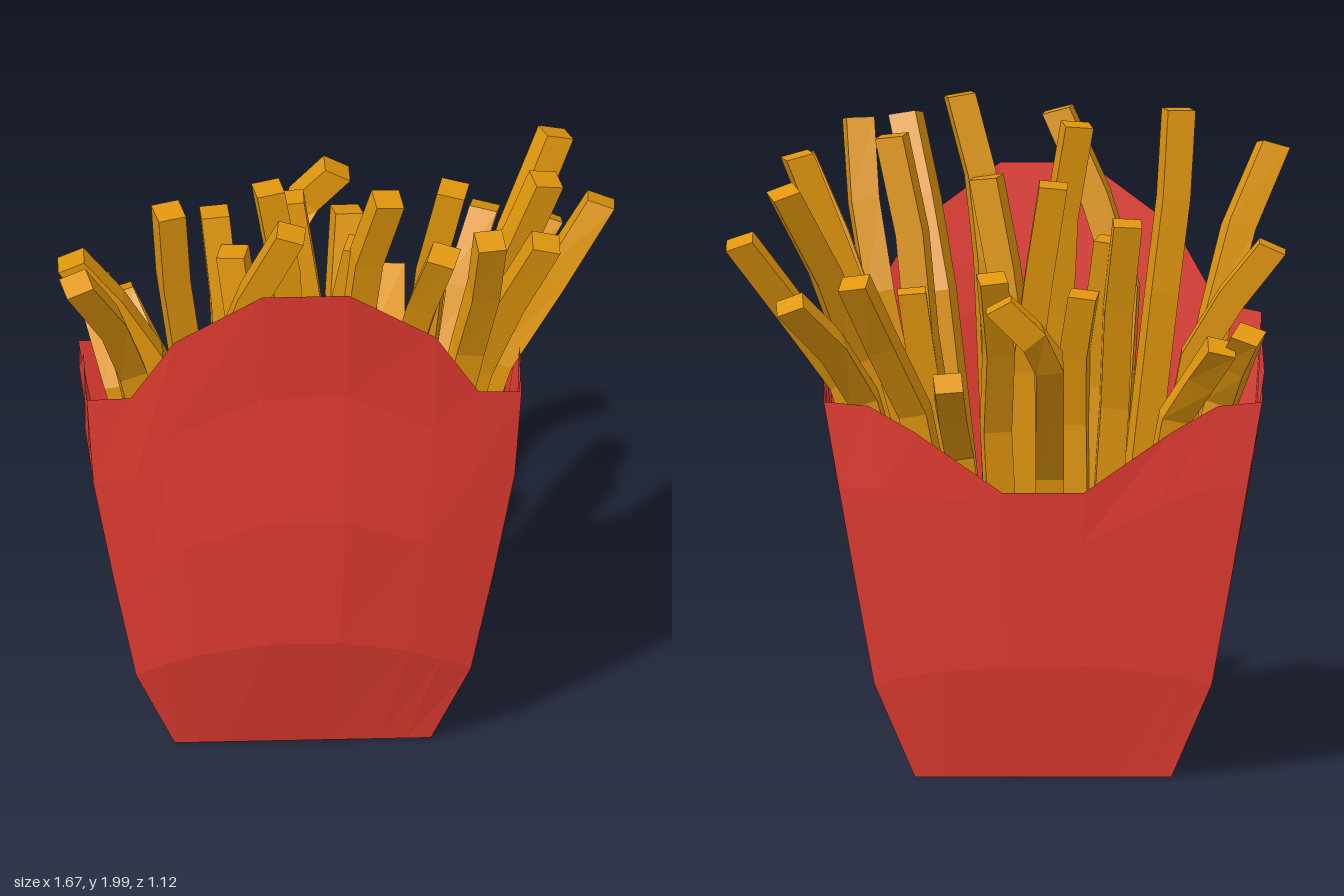
import * as THREE from 'three';

const CX = -0.11; // carton is offset sideways from the origin

// Piecewise-linear lookup in a list of [y, value]
function at(table, y) {
  for (let i = 1; i < table.length; i++) {
    const [y0, v0] = table[i - 1], [y1, v1] = table[i];
    if (y <= y1) return v0 + (v1 - v0) * Math.max(0, (y - y0) / (y1 - y0));
  }
  return table[table.length - 1][1];
}

// Carton outline by height
const halfWidth = [[0, 0.38], [0.3, 0.505], [1.15, 0.65], [1.32, 0.645]];
const frontZ = [[0, 0.27], [0.35, 0.335], [1.32, 0.39], [1.74, 0.42]];
const frontBulge = [[0, 0], [0.43, 0.05], [0.9, 0.075], [1.3, 0.06], [1.74, 0.083]];
const backZ = [[0, -0.08], [0.3, -0.125], [0.95, -0.172], [1.15, -0.17]];
const backBulge = [[0, 0], [0.3, 0.015], [0.9, 0.03]];
const sideBulge = [[0, -0.035], [0.4, 0.005], [0.8, 0.008], [1.15, 0.01], [1.32, 0]];

function buildGeometry(points, index) {
  const g = new THREE.BufferGeometry();
  g.setAttribute('position', new THREE.Float32BufferAttribute(points.flatMap(p => p.toArray()), 3));
  g.setIndex(index);
  g.computeVertexNormals();
  return g;
}

// Columns around the carton: each has its own bottom, crease and rim height
function cartonColumns() {
  const us = [-1, -0.8, -0.6, -0.2, 0.2, 0.6, 0.8, 1];
  const frontRim = [[0.2, 1.745], [0.6, 1.56], [0.8, 1.335], [1, 1.315]];
  const backRim = [[0.2, 0.88], [0.57, 1.05], [0.8, 1.14], [1, 1.15]];
  const front = us.map(u => ({
    bottom: 0, crease: 0.28 + 0.15 * (1 - u * u), top: at(frontRim, Math.abs(u)),
    point: y => new THREE.Vector3(CX + u * at(halfWidth, y), y,
      at(frontZ, y) + at(frontBulge, y) * (1 - u * u))
  }));
  const back = us.map(u => ({
    bottom: 0, crease: 0.29 + 0.06 * (1 - u * u), top: at(backRim, Math.abs(u)),
    point: y => new THREE.Vector3(CX + u * at(halfWidth, y), y,
      at(backZ, y) - at(backBulge, y) * (1 - u * u))
  })).reverse();
  // [fraction front to back, bottom, crease, rim, share of the side bulge]
  const folds = [[0.2, 0, 0.35, 1.318, 0.4], [0.43, 0.045, 0.41, 1.315, 1],
    [0.62, 0.06, 0.38, 1.2, 1], [0.84, 0.015, 0.31, 1.2, 0.4]];
  const side = s => folds.map(([f, bottom, crease, top, share]) => ({
    bottom, crease, top,
    point: y => new THREE.Vector3(
      CX + s * (at(halfWidth, y) + share * at(sideBulge, y)), y,
      THREE.MathUtils.lerp(at(frontZ, y), at(backZ, y), f))
  }));
  return [...front, ...side(1), ...back, ...side(-1).reverse()];
}

function makeCarton(material) {
  const cols = cartonColumns(), n = cols.length;
  const steps = [0, 0.35, 0.7, 1];
  const rows = steps.length + 1;
  const points = [], index = [];
  for (const c of cols) {
    points.push(c.point(c.bottom));
    for (const t of steps) points.push(c.point(THREE.MathUtils.lerp(c.crease, c.top, t)));
  }
  for (let i = 0; i < n; i++) {
    const a = i * rows, b = ((i + 1) % n) * rows;
    for (let r = 0; r < rows - 1; r++) {
      index.push(a + r, b + r, b + r + 1, a + r, b + r + 1, a + r + 1);
    }
  }
  const walls = new THREE.Mesh(buildGeometry(points, index), material);
  walls.name = 'cartonWalls';

  // Arched floor: strips joining the matching columns of both sides
  const left = [7, 8, 9, 10, 11, 12], right = [0, 23, 22, 21, 20, 19];
  const floorPoints = [], floorIndex = [];
  left.forEach((l, i) => {
    floorPoints.push(cols[right[i]].point(cols[right[i]].bottom), cols[l].point(cols[l].bottom));
    if (i > 0) {
      const k = i * 2;
      floorIndex.push(k - 2, k, k + 1, k - 2, k + 1, k - 1);
    }
  });
  const floor = new THREE.Mesh(buildGeometry(floorPoints, floorIndex), material);
  floor.name = 'cartonFloor';

  const carton = new THREE.Group();
  carton.name = 'carton';
  carton.add(walls, floor);
  return carton;
}

// Square bar swept along a bent path, its tip cut closer to level
function fryGeometry(path, size, twist) {
  const points = [], index = [], last = path.length - 1;
  const ref = new THREE.Vector3(Math.sin(twist), 0, Math.cos(twist));
  path.forEach((p, i) => {
    const t = path[Math.min(i + 1, last)].clone().sub(path[Math.max(i - 1, 0)]).normalize();
    if (i === last) t.y += 0.6;
    t.normalize();
    const s = t.clone().cross(ref).normalize();
    const r = s.clone().cross(t);
    for (let k = 0; k < 4; k++) {
      const a = Math.PI / 4 + k * Math.PI / 2, h = size * Math.SQRT1_2;
      points.push(p.clone().addScaledVector(r, Math.cos(a) * h).addScaledVector(s, Math.sin(a) * h));
      if (i < last) {
        const q = i * 4 + k, w = i * 4 + (k + 1) % 4;
        index.push(q, w, w + 4, q, w + 4, q + 4);
      }
    }
  });
  const e = last * 4;
  index.push(e, e + 1, e + 2, e, e + 2, e + 3, 0, 2, 1, 0, 3, 2);
  return buildGeometry(points, index);
}

// Each fry: point near the rim, then tip (x, y, z)
const rightFries = [
  [-0.56, 1.25, 0.05, -0.79, 1.58, 0.04], [-0.62, 1.33, 0.25, -0.79, 1.8, 0.49],
  [-0.64, 1.12, 0.0, -0.72, 1.36, -0.2], [-0.5, 1.08, -0.04, -0.64, 1.32, -0.19],
  [-0.32, 1.1, 0.04, -0.36, 1.67, -0.07], [-0.28, 1.15, 0.1, -0.31, 1.6, 0.04],
  [-0.46, 1.4, 0.25, -0.51, 1.94, 0.32], [-0.35, 1.4, 0.34, -0.15, 1.92, 0.42],
  [-0.2, 1.05, 0.05, -0.23, 1.45, -0.04]
];
const leftFries = [
  [-0.06, 1.2, 0.08, -0.14, 1.77, 0.01], [-0.15, 1.35, 0.2, -0.21, 1.92, 0.18],
  [-0.03, 1.2, 0.2, 0.06, 1.75, 0.24], [0.03, 1.05, -0.06, 0.04, 1.54, -0.26],
  [0.14, 0.98, -0.1, 0.17, 1.25, -0.4], [0.27, 1.1, -0.06, 0.45, 1.53, -0.28],
  [0.44, 1.25, -0.02, 0.66, 1.8, -0.26], [0.42, 1.14, -0.08, 0.64, 1.47, -0.31],
  [0.48, 1.18, 0.01, 0.79, 1.63, -0.15], [0.41, 1.3, 0.07, 0.62, 1.85, 0.06],
  [0.25, 1.3, 0.1, 0.34, 1.89, 0.16], [0.41, 1.3, 0.22, 0.61, 1.8, 0.32],
  [0.38, 1.4, 0.27, 0.44, 1.89, 0.44], [0.2, 1.4, 0.29, 0.3, 1.89, 0.51],
  [0.05, 1.5, 0.27, 0.14, 1.98, 0.34], [0.22, 1.05, 0.04, 0.28, 1.45, 0.01]
];

export function createModel() {
  const model = new THREE.Group();
  model.name = 'friesInCarton';
  const red = new THREE.MeshStandardMaterial({ color: 0xe43c32, flatShading: true, side: THREE.DoubleSide });
  const golden = new THREE.MeshStandardMaterial({ color: 0xe0960c, flatShading: true });

  const fries = new THREE.Group();
  fries.name = 'fries';
  const addFry = (path, i, gatherX) => {
    // Bottom ends gather toward the middle of the carton
    const m = path[0];
    path.unshift(new THREE.Vector3(THREE.MathUtils.lerp(m.x, gatherX, 0.55), 0.25, 0.1 + (m.z - 0.1) * 0.55));
    const fry = new THREE.Mesh(fryGeometry(path, 0.084, Math.sin(i * 2.3) * 0.25), golden);
    fry.name = 'fry';
    fries.add(fry);
  };
  const addBunch = (list, gatherX) => list.forEach(([x, y, z, tx, ty, tz], i) => {
    const mid = new THREE.Vector3(x, y, z), tip = new THREE.Vector3(tx, ty, tz);
    // Slight kink halfway up the visible part
    const knee = mid.clone().lerp(tip, 0.48);
    knee.x += 0.015 * Math.sin(i * 1.7);
    knee.y += 0.02;
    addFry([mid, knee, tip], i, gatherX);
  });
  addBunch(rightFries, -0.22);
  addBunch(leftFries, -0.04);
  // Long fry hooked over the back
  addFry([[-0.13, 0.93, -0.13], [-0.13, 1.32, -0.45], [-0.08, 1.41, -0.51], [0.02, 1.51, -0.52]]
    .map(p => new THREE.Vector3(...p)), 0, -0.13);

  model.add(makeCarton(red), fries);
  return model;
}
